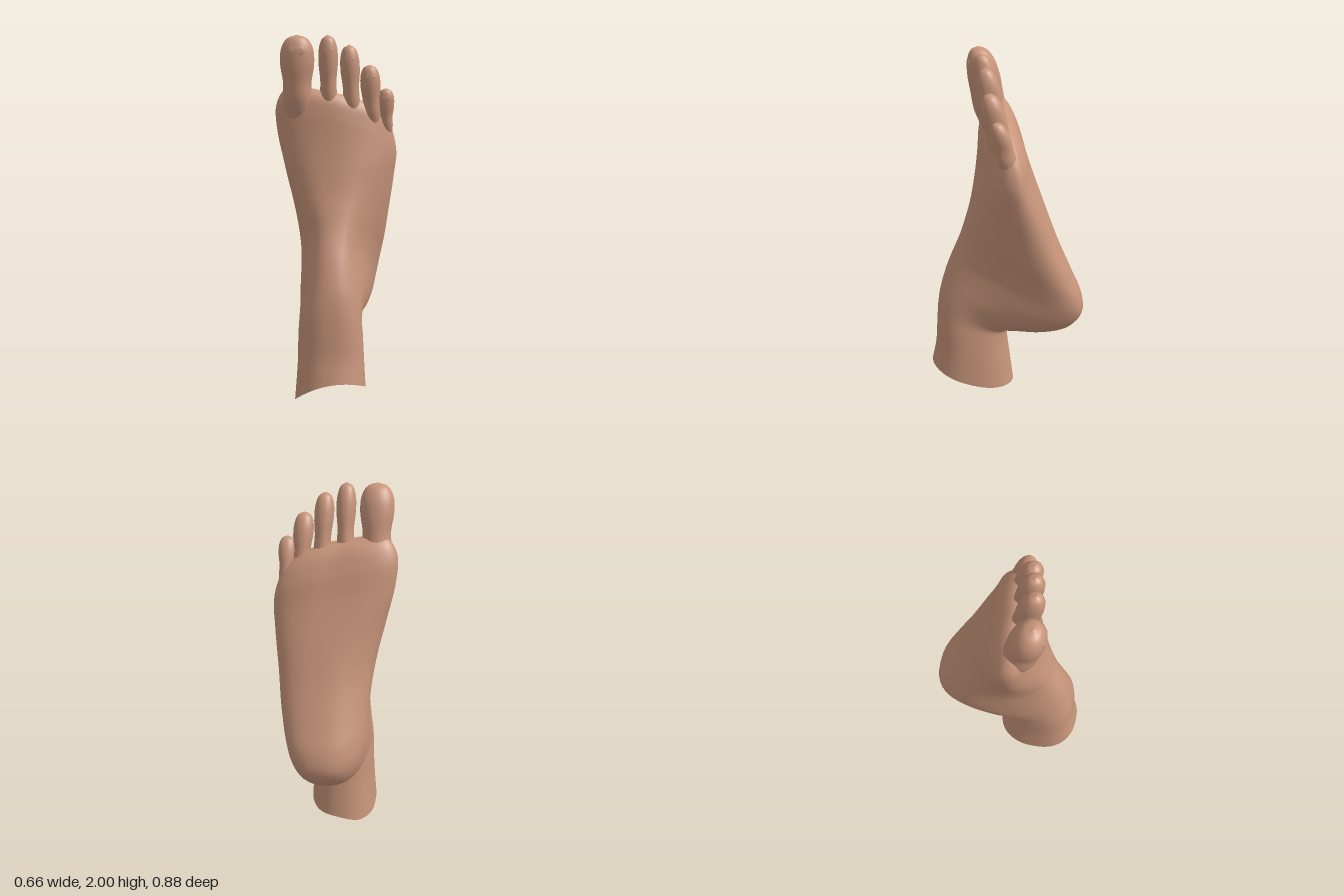
import * as THREE from 'three';

const SIDES = 48;

// Skin a stack of rings, smoothed lengthwise with Catmull-Rom curves
function loft(rings, steps) {
  const curves = [];
  for (let j = 0; j < SIDES; j++) curves.push(new THREE.CatmullRomCurve3(rings.map(r => r[j])));
  const n = (rings.length - 1) * steps;
  const pos = [], idx = [];
  for (let i = 0; i <= n; i++) {
    for (let j = 0; j < SIDES; j++) {
      const p = curves[j].getPoint(i / n);
      pos.push(p.x, p.y, p.z);
      if (i === n) continue;
      const a = i * SIDES + j, b = i * SIDES + (j + 1) % SIDES;
      idx.push(a, a + SIDES, b, b, a + SIDES, b + SIDES);
    }
  }
  const g = new THREE.BufferGeometry();
  g.setAttribute('position', new THREE.Float32BufferAttribute(pos, 3));
  g.setIndex(idx);
  g.computeVertexNormals();
  return g;
}

// Rounded cross-section: calls place(u, v) with u to the left, v to the front
function ring(power, place) {
  const soft = c => Math.sign(c) * Math.abs(c) ** power;
  return Array.from({ length: SIDES }, (_, j) => {
    const a = j / SIDES * Math.PI * 2;
    return place(soft(Math.cos(a)), soft(Math.sin(a)));
  });
}

// Front z, y; back z, y; front x range; back x range
const SECTIONS = [
  [.44, .17, -.04, .03, -.24, .17, -.21, .15],
  [.415, .30, -.02, .20, -.225, .165, -.19, .135],
  [.405, .44, -.005, .33, -.22, .16, -.19, .125],
  [.395, .56, -.01, .39, -.21, .15, -.19, .125],
  [.38, .65, -.10, .39, -.20, .15, -.20, .145],
  [.355, .74, -.24, .395, -.20, .15, -.21, .195],
  [.328, .82, -.37, .44, -.20, .15, -.21, .24],
  [.295, .90, -.435, .53, -.20, .155, -.21, .27],
  [.262, .98, -.43, .63, -.21, .175, -.20, .29],
  [.235, 1.06, -.37, .78, -.24, .20, -.185, .315],
  [.203, 1.17, -.285, .98, -.285, .23, -.18, .335],
  [.175, 1.32, -.20, 1.21, -.33, .26, -.22, .36],
  [.158, 1.46, -.12, 1.42, -.34, .29, -.31, .36],
  [.15, 1.57, -.075, 1.56, -.34, .30, -.325, .335],
  [.135, 1.65, -.03, 1.65, -.295, .28, -.29, .29],
  [.105, 1.69, .02, 1.69, -.24, .23, -.24, .23],
  [.065, 1.69, .065, 1.69, -.19, .18, -.19, .18],
];

function footGeometry() {
  const mix = THREE.MathUtils.lerp;
  const rings = SECTIONS.map(([zf, yf, zb, yb, lf, rf, lb, rb], i) => ring(.84, (u, v) => {
    const t = (v + 1) / 2;
    const lo = mix(lb, lf, t), hi = mix(rb, rf, t);
    const x = (lo + hi) / 2 + (hi - lo) / 2 * u;
    let y = mix(yb, yf, t), z = mix(zb, zf, t);
    // Forefoot slopes down towards the small toe
    const k = THREE.MathUtils.smoothstep(y, 1.2, 1.65), out = Math.max(0, x);
    y -= k * (.2 * x + .7 * out * out);
    z -= k * .2 * out;
    // Uneven open rim of the ankle
    if (i === 0) y += .2 * x - .05 * u * u + .01;
    return new THREE.Vector3(x, Math.max(0, y), z);
  }));
  return loft(rings, 6);
}

// Toe profile: height fraction, width scale, depth scale
const TOE = [[0, .65, .5], [.3, .88, .95], [.5, .84, .97], [.7, 1, .96],
  [.86, .93, .8], [.96, .6, .48], [1, .01, .01]];

// Name, base x, y, z, tip x, y, z, half width, half depth
const TOES = [
  ['bigToe', -.215, 1.5, .06, -.21, 2.0, .145, .091, .092],
  ['secondToe', -.045, 1.52, .055, -.047, 2.0, .13, .052, .066],
  ['middleToe', .085, 1.5, .045, .065, 1.95, .11, .052, .066],
  ['fourthToe', .195, 1.46, .02, .175, 1.845, .09, .054, .064],
  ['littleToe', .265, 1.42, -.02, .265, 1.72, .055, .046, .052],
];

export function createModel() {
  const model = new THREE.Group();
  const skin = new THREE.MeshStandardMaterial({ color: 0xc8957b, side: THREE.DoubleSide });
  skin.name = 'skin';
  const add = (name, geometry, parent = model) => {
    const mesh = new THREE.Mesh(geometry, skin);
    mesh.name = name;
    parent.add(mesh);
    return mesh;
  };

  // Ankle, heel, sole and instep in one skin
  add('footAndAnkle', footGeometry());

  // Toes with nails sunk into the front
  for (const [name, bx, by, bz, tx, ty, tz, hw, hd] of TOES) {
    const base = new THREE.Vector3(bx, by, bz), tip = new THREE.Vector3(tx, ty, tz);
    const toe = new THREE.Group();
    toe.name = name;
    model.add(toe);
    const rings = TOE.map(([h, w, d]) => {
      const c = base.clone().lerp(tip, h);
      return ring(.95, (u, v) => new THREE.Vector3(c.x + u * w * hw, c.y, c.z + v * d * hd));
    });
    add(name + 'Body', loft(rings, 6), toe);
    const nail = add(name + 'Nail', new THREE.SphereGeometry(1, 20, 12), toe);
    nail.position.copy(base).lerp(tip, .83);
    nail.position.z += hd * .76;
    nail.scale.set(hw * .5, hw * .36, hw * .1);
    nail.rotation.x = -.1;
  }
  return model;
}
